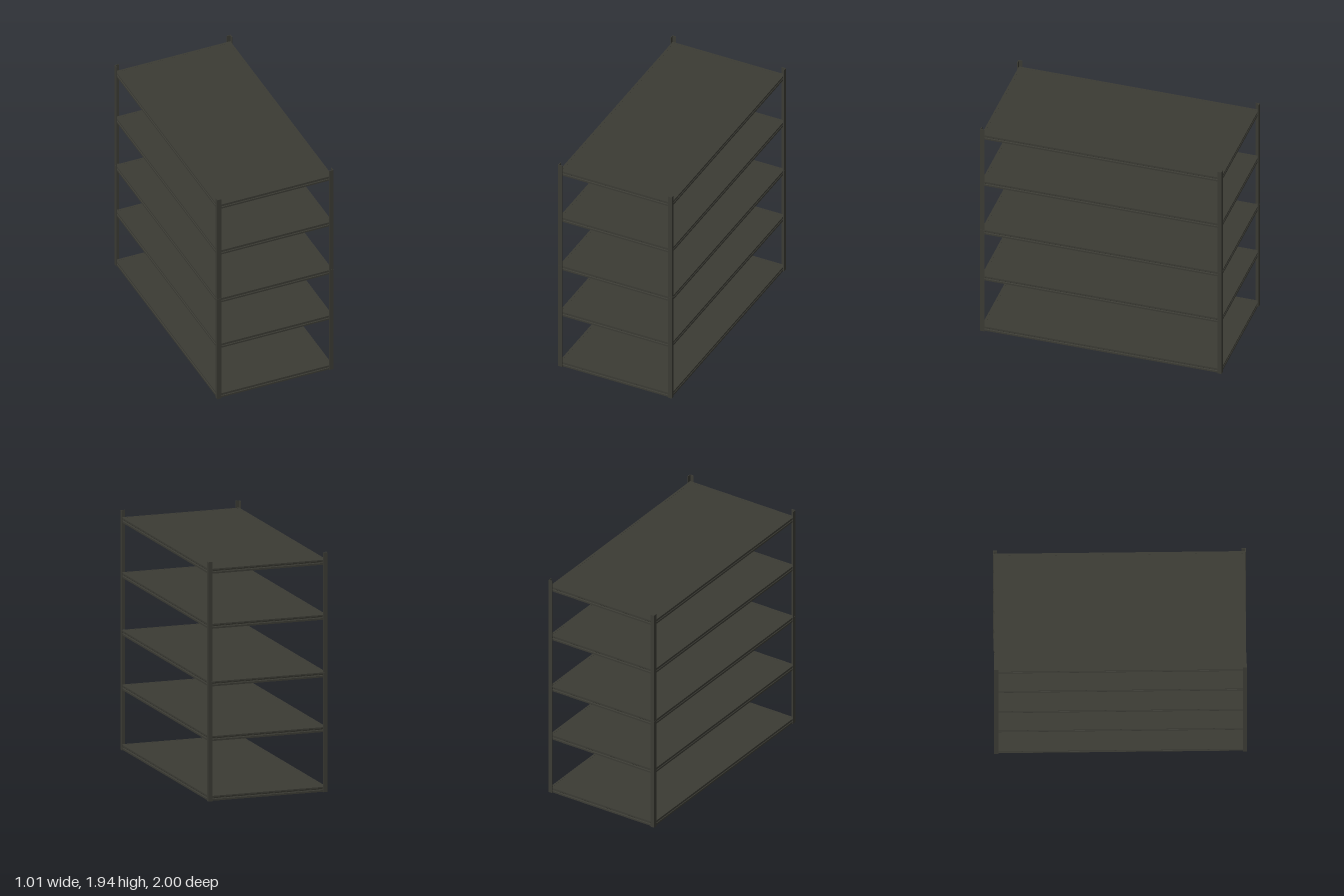
import * as THREE from 'three';

const W = 0.503, D = 1.0, H = 1.94;       // half width, half depth, full height
const LEG = 0.035, T = 0.006;             // post flange width and sheet thickness
const BEAM = 0.04;                        // shelf edge height
const SHELF_TOPS = [0.043, 0.527, 0.97, 1.437, 1.883];

export function createModel() {
  const steel = new THREE.MeshStandardMaterial({ color: 0x3b3b34 });
  steel.name = 'dark painted steel';
  const model = new THREE.Group();
  model.name = 'shelvingUnit';

  const add = (parent, geometry, name, x = 0, y = 0, z = 0) => {
    const mesh = new THREE.Mesh(geometry, steel);
    mesh.name = name;
    mesh.position.set(x, y, z);
    parent.add(mesh);
    return mesh;
  };
  const box = (parent, name, w, h, d, x, y, z) =>
    add(parent, new THREE.BoxGeometry(w, h, d), name, x, y, z);

  // Corner posts: L-shaped angles in two stacked lengths
  const joint = 0.973, gap = 0.002;
  for (const sx of [-1, 1]) for (const sz of [-1, 1]) {
    const pts = [[W, D], [W - LEG, D], [W - LEG, D - T], [W - T, D - T], [W - T, D - LEG], [W, D - LEG]];
    const shape = new THREE.Shape(pts.map(([x, z]) => new THREE.Vector2(x * sx, -z * sz)));
    const post = new THREE.Group();
    post.name = 'cornerPost';
    for (const [y0, y1] of [[0, joint - gap / 2], [joint + gap / 2, H]]) {
      const g = new THREE.ExtrudeGeometry(shape, { depth: y1 - y0, bevelEnabled: false });
      g.rotateX(-Math.PI / 2);
      add(post, g, 'postSection', 0, y0, 0);
    }
    model.add(post);
  }

  // Edge beam: folded profile with a recessed channel along its outer face
  const beamGeometry = (length) => {
    const p = [[-0.018, 0], [0, 0], [0, 0.014], [-0.005, 0.018], [-0.005, 0.024],
      [0, 0.028], [0, BEAM], [-0.018, BEAM]];
    const shape = new THREE.Shape(p.map(([x, y]) => new THREE.Vector2(x, y)));
    const g = new THREE.ExtrudeGeometry(shape, { depth: length, bevelEnabled: false });
    return g.translate(0, 0, -length / 2);
  };
  const inX = W - T, inZ = D - T;
  const sideBeam = beamGeometry(2 * inZ);
  const endBeam = beamGeometry(2 * inX);

  // Shelves: flat deck, edge beams, cross ribs and a centre support underneath
  const RIBS = 20;
  for (const top of SHELF_TOPS) {
    const shelf = new THREE.Group();
    shelf.name = 'shelf';
    shelf.position.y = top - BEAM;
    box(shelf, 'deck', 2 * inX - 0.01, 0.008, 2 * inZ - 0.01, 0, BEAM - 0.0045, 0);
    for (const s of [-1, 1]) {
      add(shelf, sideBeam, 'sideBeam', s * inX).rotation.y = s > 0 ? 0 : Math.PI;
      add(shelf, endBeam, 'endBeam', 0, 0, s * inZ).rotation.y = -s * Math.PI / 2;
    }
    const pitch = 2 * (inZ - 0.018) / RIBS;
    for (let i = 0; i < RIBS; i++) {
      box(shelf, 'deckRib', 2 * inX - 0.03, 0.024, pitch * 0.5, 0, 0.021, (i - (RIBS - 1) / 2) * pitch);
    }
    box(shelf, 'centreSupport', 0.024, 0.016, 2 * inZ - 0.03, 0, 0.005, 0);
    model.add(shelf);
  }
  return model;
}
